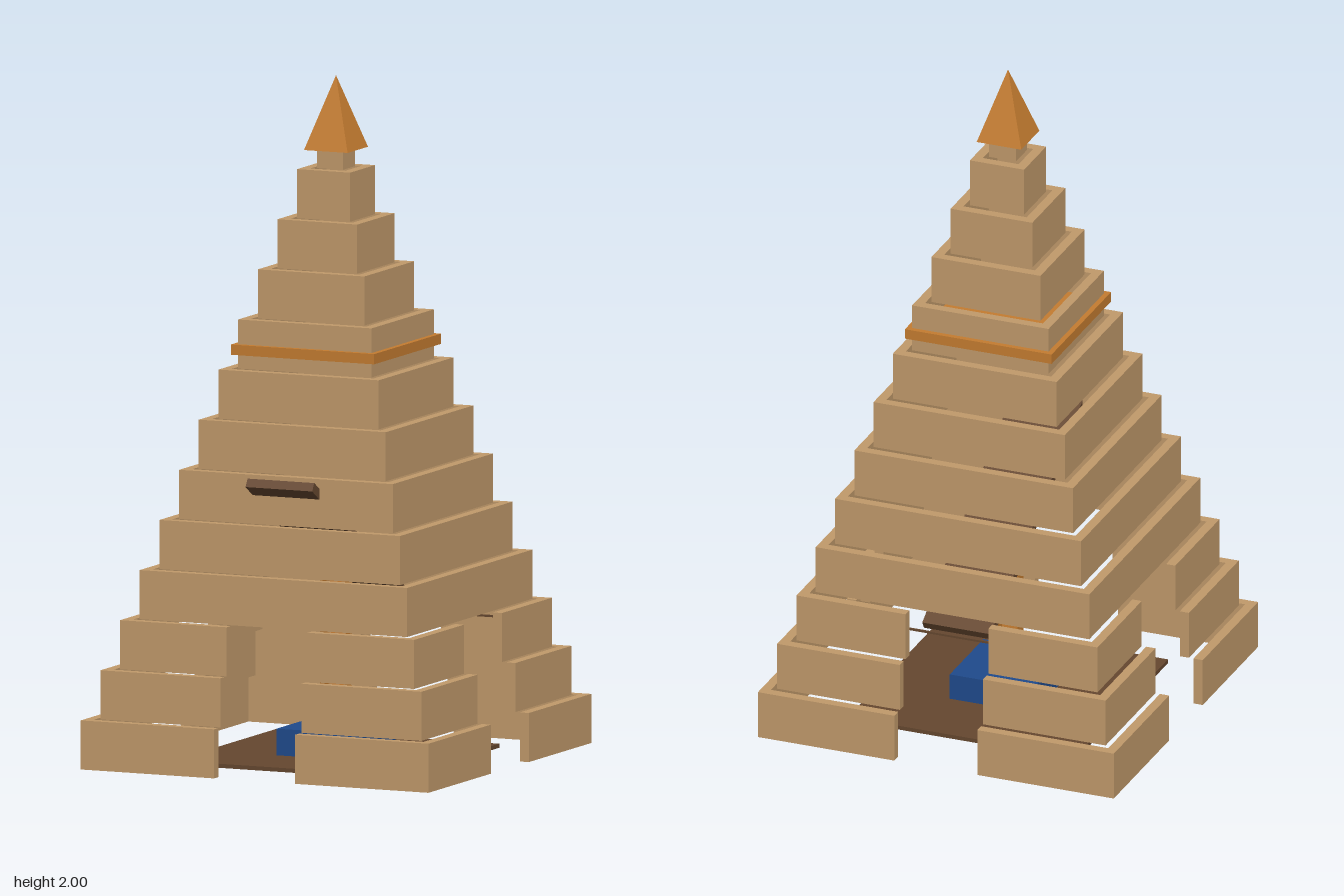
import * as THREE from 'three';

const material = (name, color) => {
  const m = new THREE.MeshStandardMaterial({ color });
  m.name = name;
  return m;
};

export function createModel() {
  const sand = material('sandstone', 0xc19a6b);
  const bronze = material('bronze', 0xc47c30);
  const brown = material('dark brown', 0x65472f);
  const blue = material('deep blue', 0x1f4a8c);

  const model = new THREE.Group();
  model.name = 'steppedTower';

  const add = (name, geometry, mat, x = 0, y = 0, z = 0, parent = model) => {
    const mesh = new THREE.Mesh(geometry, mat);
    mesh.name = name;
    mesh.position.set(x, y, z);
    parent.add(mesh);
    return mesh;
  };

  const STEP = 1.73 / 12, WALL = 0.029, DOOR = 0.13;
  const outline = (points) => new THREE.Shape(points.map(([x, y]) => new THREE.Vector2(x, y)));
  const square = (h) => [[-h, -h], [h, -h], [h, h], [-h, h]];
  const raise = (shape, height) =>
    new THREE.ExtrudeGeometry(shape, { depth: height, bevelEnabled: false }).rotateX(-Math.PI / 2);

  // Thirteen hollow tiers; the lowest three are split into corners by doorways
  for (let i = 0; i < 13; i++) {
    const half = 0.558 - 0.043 * i, inner = half - WALL;
    const height = i === 12 ? 0.09 : STEP;
    const tier = new THREE.Group();
    tier.name = `tier${i + 1}`;
    tier.position.y = i * STEP;
    model.add(tier);
    if (i < 3) {
      const corner = raise(outline([
        [DOOR, inner], [inner, inner], [inner, DOOR], [half, DOOR], [half, half], [DOOR, half],
      ].reverse()), height);
      for (let k = 0; k < 4; k++) {
        add('cornerWall', corner, sand, 0, 0, 0, tier).rotation.y = k * Math.PI / 2;
      }
    } else {
      const ring = outline(square(half));
      ring.holes.push(new THREE.Path(outline(square(inner)).getPoints().reverse()));
      add('ringWall', raise(ring, height), sand, 0, 0, 0, tier);
    }
  }

  // Bronze capstone and the plate that projects as a band
  const cap = new THREE.ConeGeometry(0.07 * Math.SQRT2, 0.215, 4).rotateY(Math.PI / 4).toNonIndexed();
  cap.computeVertexNormals();
  add('capstone', cap, bronze, 0, 1.8925, 0);
  add('bandPlate', new THREE.BoxGeometry(0.46, 0.03, 0.46), bronze, 0, 1.21, 0);

  // Floor, pedestal and central six-sided pillar
  add('floor', new THREE.BoxGeometry(0.714, 0.012, 0.714), brown, 0, 0.006, 0);
  add('pedestal', new THREE.BoxGeometry(0.26, 0.078, 0.26), blue, 0, 0.051, 0);
  const pillar = new THREE.CylinderGeometry(0.046, 0.046, 0.51, 6).toNonIndexed();
  pillar.computeVertexNormals();
  add('pillar', pillar, bronze, 0, 0.345, 0);

  // Sloping shaft, from low at the back to high through the front wall
  const slope = 0.553;
  const shaft = add('slopingShaft', new THREE.BoxGeometry(0.214, 0.027, 0.913), brown, 0, 0.607, -0.004);
  shaft.rotation.x = -slope;

  // Thin rail across the back doorway
  add('backRail', new THREE.BoxGeometry(0.88, 0.006, 0.006), brown, 0, 0.372, -0.44);

  return model;
}
